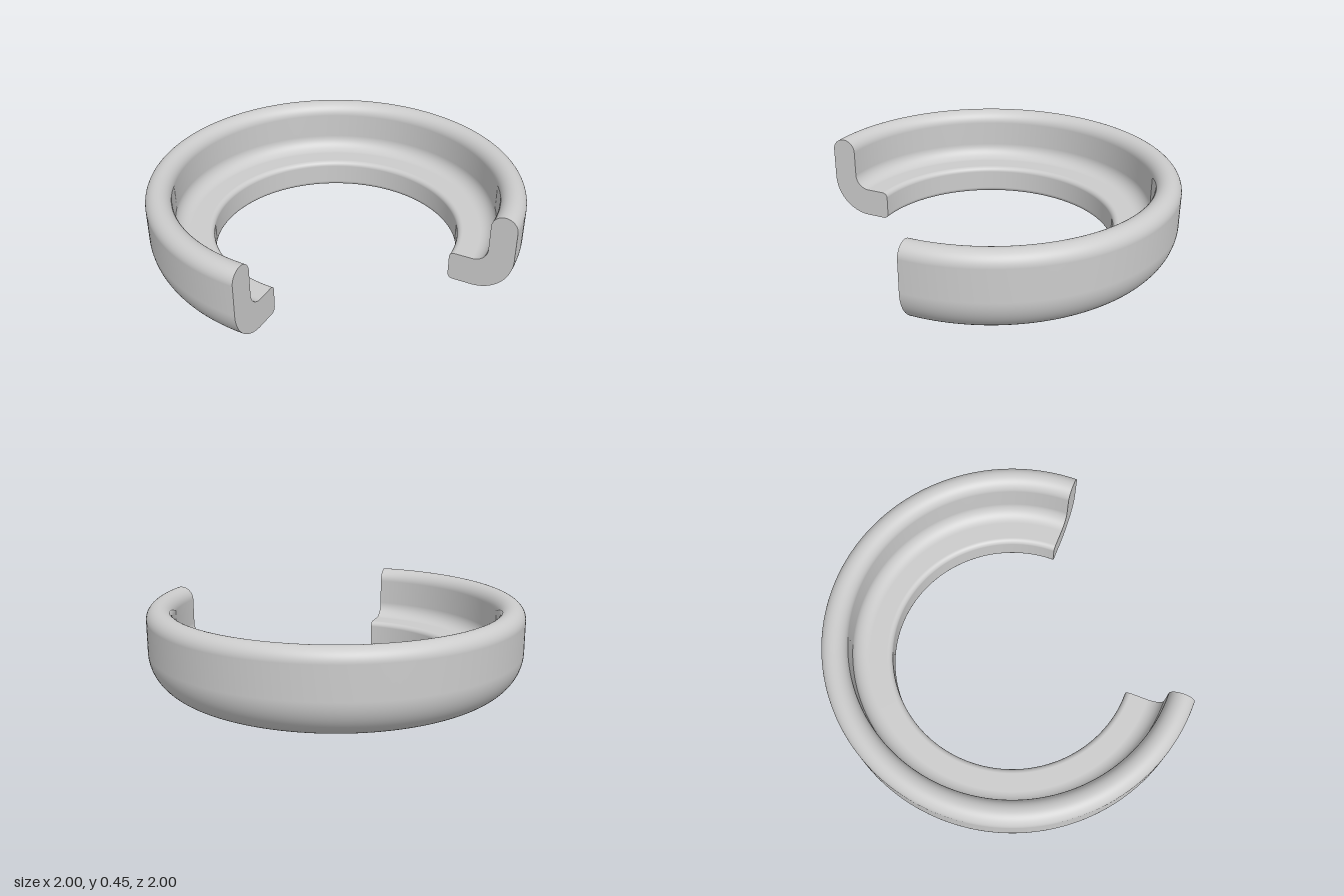
import * as THREE from 'three';

const INNER = 0.66, WALL = 0.863, OUTER = 1, SHELF = 0.16, TOP = 0.447;

// L-shaped section: inward flange below, upright wall with a rounded rim
function ringSection() {
  const q = Math.PI / 2;
  const edge = 0.028, base = 0.21, rim = (OUTER - WALL) / 2, cove = 0.08;
  const s = new THREE.Shape();
  s.moveTo(0.73, 0);
  s.lineTo(OUTER - base, 0);
  s.absarc(OUTER - base, base, base, -q, 0, false);
  s.absarc(OUTER - rim, TOP - rim, rim, 0, 2 * q, false);
  s.absarc(WALL - cove, SHELF + cove, cove, 0, -q, true);
  s.absarc(INNER + edge, SHELF - edge, edge, q, 2 * q, false);
  s.absarc(INNER + edge, edge, edge, 2 * q, 3 * q, false);
  s.lineTo(0.73, 0);
  return s;
}

export function createModel() {
  const group = new THREE.Group();
  group.name = 'cutawayRing';
  const material = new THREE.MeshStandardMaterial({ color: 0xcccccc });
  const capMaterial = new THREE.MeshStandardMaterial({ color: 0xcccccc, side: THREE.DoubleSide });
  const section = ringSection();

  // three-quarter ring, open at the front left
  const ring = new THREE.Mesh(
    new THREE.LatheGeometry(section.getPoints(14), 144, Math.PI / 2, Math.PI * 1.5), material);
  ring.name = 'ring';
  group.add(ring);

  // flat cut faces closing both ends
  const capGeometry = new THREE.ShapeGeometry(section, 14);
  [['leftCutFace', 0], ['frontCutFace', -Math.PI / 2]].forEach(([name, angle]) => {
    const cap = new THREE.Mesh(capGeometry, capMaterial);
    cap.name = name;
    cap.rotation.y = angle;
    group.add(cap);
  });
  return group;
}
